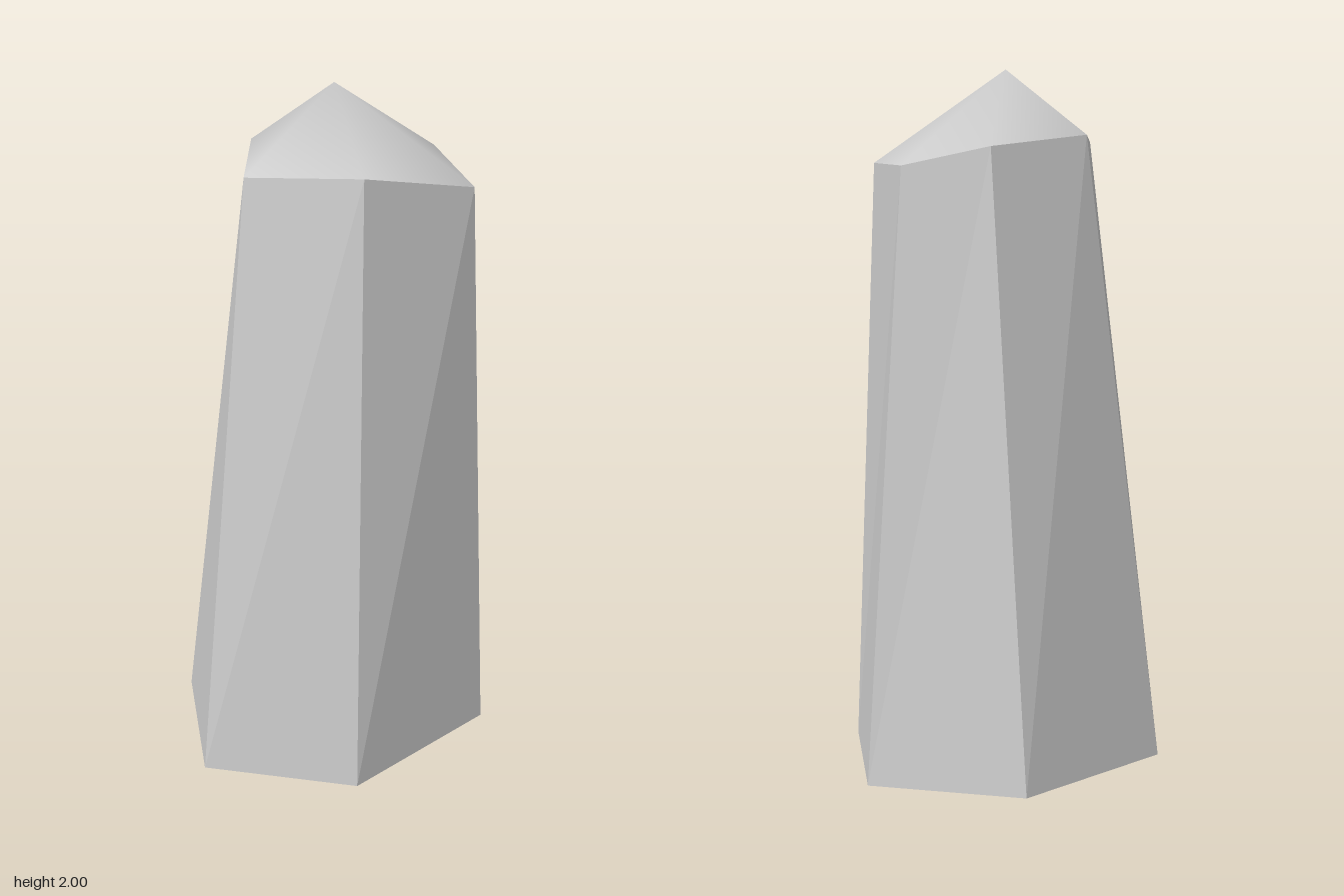
import * as THREE from 'three';

const SIDES = 6;

// Builds a mesh from triangles; smooth ones share their corners
function facets(name, points, faces, smooth) {
  let geometry = new THREE.BufferGeometry().setFromPoints(points);
  geometry.setIndex(faces.flat());
  if (!smooth) geometry = geometry.toNonIndexed();
  geometry.computeVertexNormals();
  const material = new THREE.MeshStandardMaterial({ color: 0xcccccc, flatShading: !smooth });
  const mesh = new THREE.Mesh(geometry, material);
  mesh.name = name;
  return mesh;
}

export function createModel() {
  const group = new THREE.Group();
  group.name = 'crystal';

  // Stretched hexagon on the ground, from the front corner round by +x
  const foot = Array.from({ length: SIDES }, (_, i) => {
    const a = (i / SIDES) * Math.PI * 2;
    return new THREE.Vector3(0.436 * Math.sin(a), 0, 0.53 * Math.cos(a));
  });

  // Irregular shoulder ring in the same order
  const shoulder = [
    [-0.05, 1.785, 0.288], [0.25, 1.82, 0.128], [0.327, 1.73, -0.218],
    [0.038, 1.745, -0.356], [-0.148, 1.8, -0.19], [-0.197, 1.82, 0.13],
  ].map((p) => new THREE.Vector3(...p));

  // Tapered, slightly twisted sides and flat base
  const sides = [], base = [], tip = [];
  for (let i = 0; i < SIDES; i++) {
    const j = (i + 1) % SIDES;
    sides.push([SIDES + i, i, SIDES + j], [i, j, SIDES + j]);
    base.push([SIDES, j, i]);
    tip.push([SIDES, i, j]);
  }
  group.add(facets('shaft', [...foot, ...shoulder], sides, false));
  group.add(facets('base', [...foot, new THREE.Vector3()], base, false));

  // Softly shaded point
  group.add(facets('tip', [...shoulder, new THREE.Vector3(0, 2, 0)], tip, true));
  return group;
}
